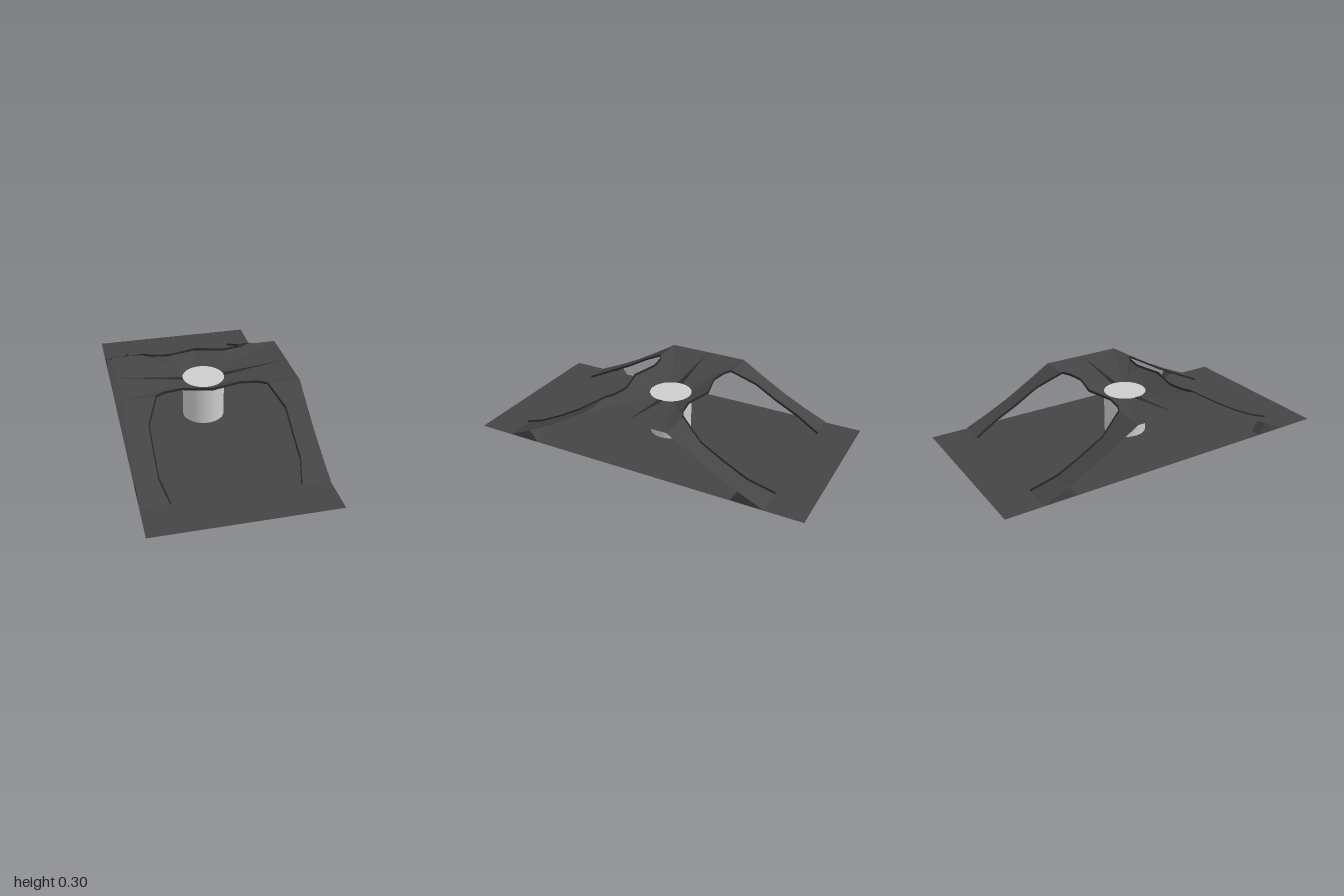
import * as THREE from 'three';

const mat = (name, color) => {
  const m = new THREE.MeshStandardMaterial({ color, side: THREE.DoubleSide, flatShading: true });
  m.name = name;
  return m;
};

// Surface through rows of equally many [x, y, z] points
function loft(rows) {
  const n = rows[0].length, index = [];
  for (let r = 0; r < rows.length - 1; r++) {
    for (let i = 0; i < n - 1; i++) {
      const a = r * n + i, b = a + n;
      index.push(a, b, a + 1, a + 1, b, b + 1);
    }
  }
  const g = new THREE.BufferGeometry();
  g.setAttribute('position', new THREE.Float32BufferAttribute(rows.flat(2), 3));
  g.setIndex(index);
  g.computeVertexNormals();
  return g;
}

export function createModel() {
  const group = new THREE.Group();
  const darkGrey = mat('dark grey sheet', 0x454545);
  const nearBlack = mat('near black trim', 0x2a2a2a);
  const lightGrey = mat('light grey column', 0xcccccc);
  lightGrey.flatShading = false;
  lightGrey.side = THREE.FrontSide;
  const add = (name, geo, m) => {
    const mesh = new THREE.Mesh(geo, m);
    mesh.name = name;
    group.add(mesh);
    return mesh;
  };

  const TOP = 0.295, HOLE_Y = 0.245, R = 0.12;

  // Flat base sheet
  add('basePlate', new THREE.PlaneGeometry(1, 2).rotateX(-Math.PI / 2), darkGrey);

  // Central column
  const column = add('column', new THREE.CylinderGeometry(R, R, HOLE_Y - 0.001, 32), lightGrey);
  column.position.y = HOLE_Y / 2 + 0.0005;

  // Deck: scalloped outline sloping down to the round hole
  const scallop = [[0.31, 0.24], [0.26, 0.215], [0.165, 0.2], [0.08, 0.22], [0, 0.24]];
  const quarter = [[0.5, 0], [0.5, 0.24], ...scallop];
  const half = [...quarter, ...quarter.slice(0, -1).reverse().map(([x, z]) => [-x, z])];
  const outline = [...half, ...half.slice(0, -1).reverse().map(([x, z]) => [x, -z])];
  const outer = [], inner = [];
  for (let i = 0; i < outline.length - 1; i++) {
    for (let k = 0; k < 4; k++) {
      const t = k / 4;
      const x = THREE.MathUtils.lerp(outline[i][0], outline[i + 1][0], t);
      const z = THREE.MathUtils.lerp(outline[i][1], outline[i + 1][1], t);
      const a = Math.atan2(z, x);
      outer.push([x, TOP, z]);
      inner.push([R * Math.cos(a), HOLE_Y, R * Math.sin(a)]);
    }
  }
  outer.push(outer[0]);
  inner.push(inner[0]);
  add('deck', loft([inner, outer]), darkGrey);

  // Leg profile: inner x, y, z from the deck down to the foot
  const leg = [[0.31, TOP, 0.24], [0.375, 0.21, 0.38], [0.375, 0.135, 0.51],
    [0.375, 0.065, 0.65], [0.34, 0.005, 0.787]];

  for (const sz of [1, -1]) {
    const end = sz > 0 ? 'front' : 'back';
    for (const sx of [1, -1]) {
      const side = sx > 0 ? 'Left' : 'Right';
      const place = ([x, y, z]) => [x * sx, y, z * sz];
      add(`${end}${side}Leg`, loft([
        leg.map(place),
        leg.map(([, y, z]) => place([0.5, y, z])),
      ]), darkGrey);

      // Foot gusset: triangular side with a short sloping back
      const tri = (x) => [[x, 0.002, 0.785], [x, 0.064, 0.65], [x, 0.002, 0.605]].map(place);
      const tip = place([0.5, 0.002, 0.7]);
      add(`${end}${side}Gusset`, loft([[tip, tip, tip], tri(0.499), tri(0.44)]), darkGrey);
    }

    // Thin raised lip along the whole opening
    const right = [...leg].reverse().concat(scallop.slice(1).map(([x, z]) => [x, TOP, z]));
    const path = [...right, ...right.slice(0, -1).reverse().map(([x, y, z]) => [-x, y, z])];
    const rail = (offset, lift) => path.map(([x, y, z]) => {
      const d = Math.hypot(x, z - 0.52);
      return [x * (1 + offset / d), y + lift, (z + (z - 0.52) * offset / d) * sz];
    });
    add(`${end}Lip`, loft([rail(0, -0.003), rail(0, 0.009), rail(0.006, 0.009), rail(0.006, -0.003)]), nearBlack);
  }

  // Narrow creases running outward from the hole
  for (const s of [1, -1]) {
    const tip = [0.48 * s, TOP - 0.001, 0];
    add('deckCrease', loft([
      [[0.12 * s, HOLE_Y + 0.002, -0.015], [0.12 * s, HOLE_Y + 0.002, 0.015]],
      [tip, tip],
    ]), nearBlack);
  }
  return group;
}
